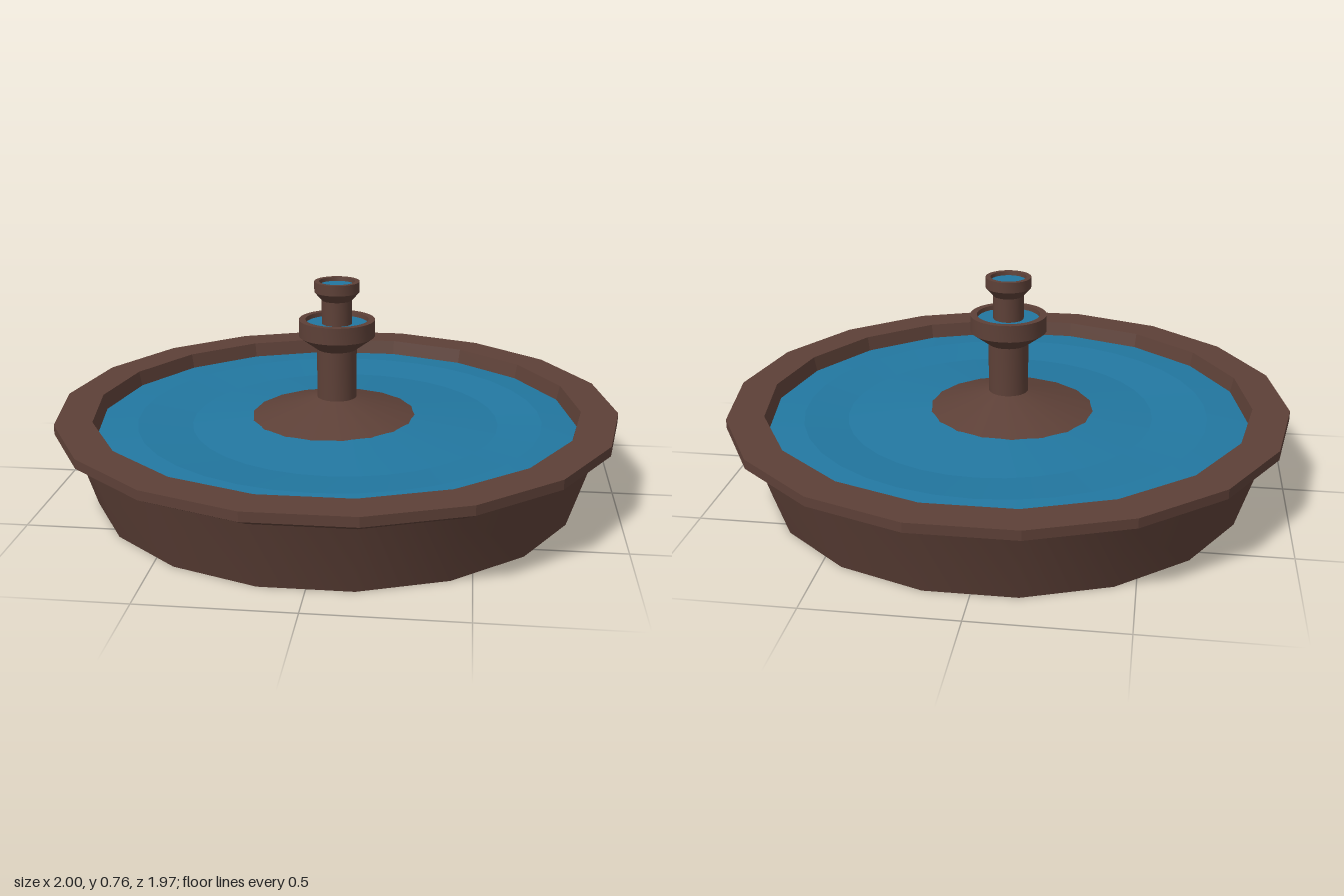
import * as THREE from 'three';
import { toCreasedNormals } from 'three/addons/utils/BufferGeometryUtils.js';

const mat = (name, color) => {
  const m = new THREE.MeshStandardMaterial({ color });
  m.name = name;
  return m;
};

export function createModel() {
  const group = new THREE.Group();
  const stone = mat('brown stone', 0x5d4037);
  const water = mat('blue water', 0x2277a0);

  // Profiles run so that the visible side faces forward; crease 0 gives flat facets
  const lathe = (name, profile, sides, material, crease = 0.45) => {
    const pts = profile.map(([r, y]) => new THREE.Vector2(r, y));
    const geo = new THREE.LatheGeometry(pts, sides);
    geo.rotateY(Math.PI / 2);
    const mesh = new THREE.Mesh(toCreasedNormals(geo, crease), material);
    mesh.name = name;
    group.add(mesh);
    return mesh;
  };

  // Basin: floor and sloping wall, then the overhanging faceted rim
  lathe('basinWall', [[0, 0], [0.865, 0], [0.94, 0.24]], 18, stone);
  lathe('basinRim', [[0.94, 0.24], [1, 0.272], [1, 0.305], [0.87, 0.305], [0.855, 0.235]], 18, stone, 0.01);

  // Rippled pool: rings inside the edge are set slightly off centre
  const ring = (n, r, y, dx) => Array.from({ length: n }, (_, i) => {
    const a = (i / n) * Math.PI * 2;
    return [r * Math.cos(a) + dx, y, r * Math.sin(a)];
  });
  const n = 36;
  const rings = [[0.862, 0.25, 0], [0.725, 0.26, 0.01], [0.55, 0.245, 0.03], [0.1, 0.285, 0.03]]
    .map(([r, y, dx]) => ring(n, r, y, dx));
  // The pool edge follows the 18-sided wall
  for (let i = 1; i < n; i += 2) {
    rings[0][i][0] *= Math.cos(Math.PI / 18);
    rings[0][i][2] *= Math.cos(Math.PI / 18);
  }
  const index = [];
  for (let k = 0; k < rings.length - 1; k++) {
    for (let i = 0; i < n; i++) {
      const a = k * n + i, b = k * n + (i + 1) % n;
      index.push(a, a + n, b, b, a + n, b + n);
    }
  }
  const poolGeo = new THREE.BufferGeometry();
  poolGeo.setAttribute('position', new THREE.Float32BufferAttribute(rings.flat(2), 3));
  poolGeo.setIndex(index);
  const pool = new THREE.Mesh(toCreasedNormals(poolGeo, 0.03), water);
  pool.name = 'poolWater';
  group.add(pool);

  // Mound rising out of the pool
  lathe('mound', [[0.37, 0.245], [0.07, 0.335]], 18, stone);

  // Column with the lower bowl
  lathe('lowerColumn', [[0.071, 0.32], [0.071, 0.515]], 32, stone);
  lathe('lowerBowl', [[0.071, 0.513], [0.135, 0.56], [0.135, 0.62], [0.112, 0.62], [0.108, 0.595]], 32, stone);
  lathe('lowerBowlWater', [[0.111, 0.605], [0.04, 0.605]], 32, water);

  // Upper column with the top bowl
  lathe('upperColumn', [[0.054, 0.59], [0.054, 0.692]], 32, stone);
  lathe('topBowl', [[0.054, 0.69], [0.08, 0.72], [0.08, 0.757], [0.063, 0.757], [0.06, 0.735]], 32, stone);
  lathe('topBowlWater', [[0.063, 0.744], [0, 0.744]], 32, water);

  return group;
}
